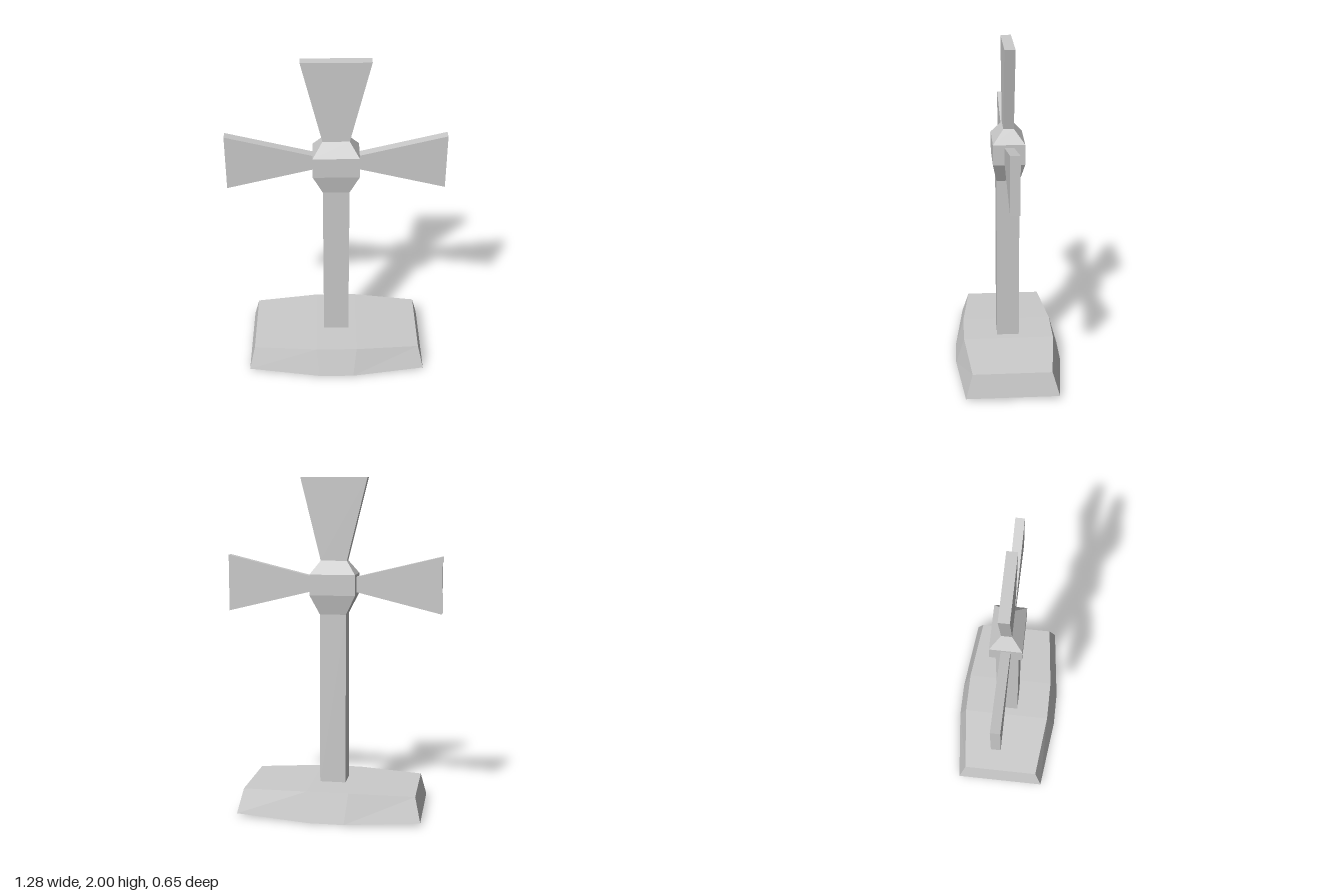
import * as THREE from 'three';

const material = new THREE.MeshStandardMaterial({ color: 0xcccccc, flatShading: true, side: THREE.DoubleSide });

// Rectangular loop at height y, counter-clockwise seen from above
const rect = (y, x, zFront, zBack) => [[-x, y, zFront], [x, y, zFront], [x, y, zBack], [-x, y, zBack]];

// Eight-sided loop with bowed front and back: the middle (m) differs from the corners (c)
const bowed = (c, m) => [
  [-c.x, c.y, c.front], [-m.x, m.y, m.front], [m.x, m.y, m.front], [c.x, c.y, c.front],
  [c.x, c.y, c.back], [m.x, m.y, m.back], [-m.x, m.y, m.back], [-c.x, c.y, c.back],
];

function facets(quads) {
  const p = [];
  for (const [a, b, c, d] of quads) p.push(...a, ...b, ...c, ...a, ...c, ...d);
  const g = new THREE.BufferGeometry();
  g.setAttribute('position', new THREE.Float32BufferAttribute(p, 3));
  g.computeVertexNormals();
  return g;
}

// Joins successive loops with quads; optionally caps the last loop
function loft(loops, cap = false) {
  const quads = [];
  for (let k = 0; k + 1 < loops.length; k++) {
    const lo = loops[k], hi = loops[k + 1];
    lo.forEach((a, i) => {
      const j = (i + 1) % lo.length;
      quads.push([a, lo[j], hi[j], hi[i]]);
    });
  }
  if (cap) quads.push(loops[loops.length - 1]);
  return facets(quads);
}

export function createModel() {
  const model = new THREE.Group();
  const add = (name, geometry, parent = model) => {
    const mesh = new THREE.Mesh(geometry, material);
    mesh.name = name;
    parent.add(mesh);
    return mesh;
  };

  // Hollow base, open underneath
  const base = new THREE.Group();
  base.name = 'base';
  model.add(base);
  const bottom = bowed({ x: 0.547, y: 0.018, front: 0.273, back: -0.28 }, { x: 0.105, y: 0, front: 0.325, back: -0.33 });
  const top = bowed({ x: 0.513, y: 0.161, front: 0.231, back: -0.237 }, { x: 0.125, y: 0.175, front: 0.273, back: -0.28 });
  add('baseWalls', loft([bottom, top]), base);
  add('baseTopSides', facets([
    [top[0], top[1], top[6], top[7]],
    [top[2], top[3], top[4], top[5]],
  ]), base);

  // Middle of the base top, with an opening into the hollow post
  const outline = (x, z0, z1) => [[-x, -z0], [x, -z0], [x, -z1], [-x, -z1]].map(([u, v]) => new THREE.Vector2(u, v));
  const middle = new THREE.Shape(outline(0.125, 0.273, -0.28));
  middle.holes.push(new THREE.Path(outline(0.078, 0.065, -0.07)));
  add('baseTopMiddle', new THREE.ShapeGeometry(middle).rotateX(-Math.PI / 2).translate(0, 0.175, 0), base);

  // Square post
  add('post', loft([rect(0.175, 0.078, 0.065, -0.07), rect(1.2, 0.078, 0.065, -0.07)]));

  // Faceted hub
  add('hub', loft([
    rect(1.2, 0.078, 0.065, -0.07),
    rect(1.315, 0.135, 0.088, -0.098),
    rect(1.437, 0.135, 0.088, -0.098),
    rect(1.515, 0.078, 0.025, -0.036),
  ], true));

  // Flared blades
  add('topBlade', loft([rect(1.515, 0.078, 0.025, -0.036), rect(2, 0.198, 0.025, -0.036)], true));
  for (const [name, s] of [['leftBlade', 1], ['rightBlade', -1]]) {
    const blade = add(name, loft([rect(0.135, 0.045, 0.022, -0.033), rect(0.638, 0.168, 0.022, -0.033)], true));
    blade.rotation.z = -s * Math.PI / 2;
    blade.position.y = 1.376;
  }
  return model;
}
